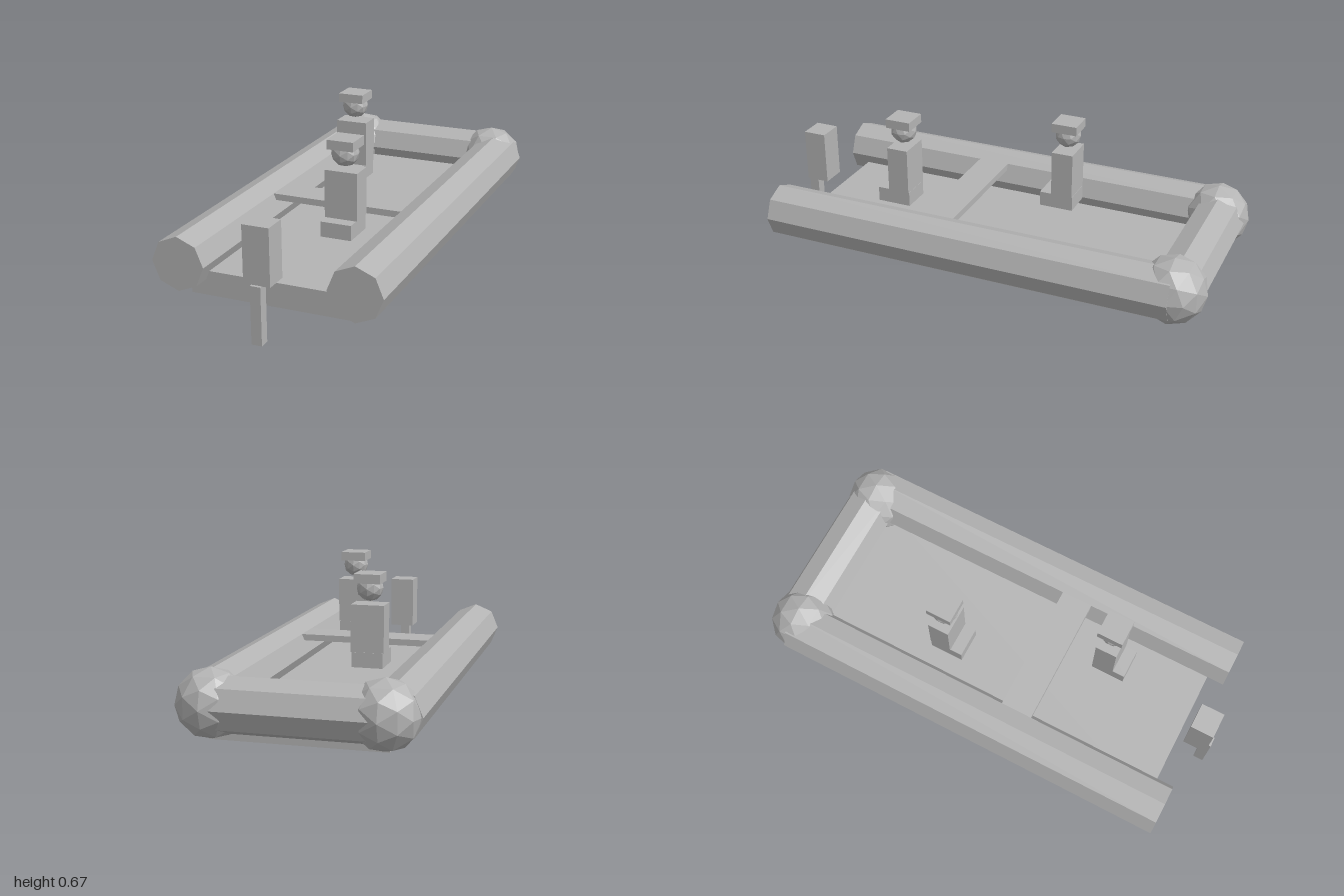
import * as THREE from 'three';

export function createModel() {
  const model = new THREE.Group();
  model.name = 'inflatableBoat';
  const grey = new THREE.MeshStandardMaterial({ color: 0xb4b4b4, flatShading: true });
  grey.name = 'plain grey';

  const add = (parent, name, geometry, x, y, z) => {
    const mesh = new THREE.Mesh(geometry, grey);
    mesh.name = name;
    mesh.position.set(x, y, z);
    parent.add(mesh);
    return mesh;
  };
  const box = (parent, name, w, h, d, x, y, z) =>
    add(parent, name, new THREE.BoxGeometry(w, h, d), x, y, z);

  // Octagonal tubes with a corner pointing straight up
  const tubeY = 0.243, tubeR = 0.113, bowZ = -0.874, sternZ = 0.931;
  const tube = (length) => new THREE.CylinderGeometry(tubeR, tubeR, length, 8);

  for (const side of [-1, 1]) {
    const name = side > 0 ? 'left' : 'right';
    add(model, name + 'SideTube', tube(sternZ - bowZ).rotateX(Math.PI / 2),
      side * 0.371, tubeY, (sternZ + bowZ) / 2);
    // Faceted ball joining side tube and bow tube
    add(model, name + 'BowCorner', new THREE.IcosahedronGeometry(0.141, 1),
      side * 0.34, tubeY, -0.859);
  }
  add(model, 'bowTube', tube(0.7).rotateZ(Math.PI / 2), 0, tubeY, bowZ);

  // Floor and cross bench
  box(model, 'floor', 0.712, 0.102, 1.712, 0, 0.149, 0);
  box(model, 'bench', 0.66, 0.028, 0.14, 0, 0.309, 0.192);

  // Seated crew: lap, torso, faceted head and flat cap
  for (const [x, z] of [[-0.12, -0.235], [0.12, 0.435]]) {
    const crew = new THREE.Group();
    crew.name = 'crewMember';
    crew.position.set(x, 0, z);
    model.add(crew);
    box(crew, 'legs', 0.132, 0.064, 0.15, 0, 0.31, 0.026);
    box(crew, 'torso', 0.141, 0.2, 0.095, 0, 0.442, 0);
    add(crew, 'head', new THREE.IcosahedronGeometry(0.057, 1), 0, 0.609, 0);
    box(crew, 'cap', 0.113, 0.039, 0.113, 0, 0.651, 0);
  }

  // Outboard motor
  box(model, 'motorCowl', 0.112, 0.235, 0.102, 0, 0.357, 0.936);
  box(model, 'motorShaft', 0.044, 0.24, 0.044, 0, 0.12, 0.978);

  return model;
}
